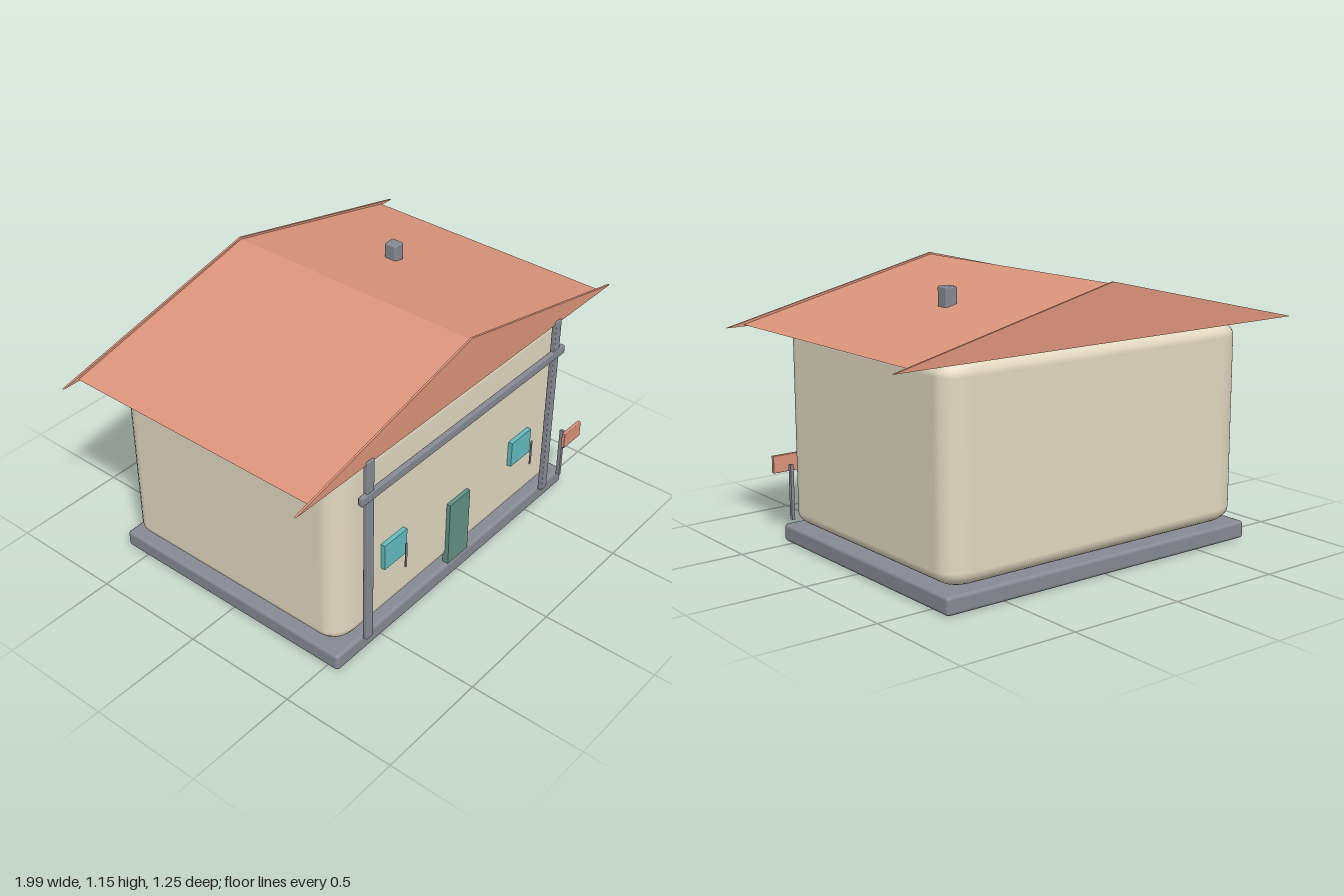
import * as THREE from 'three';
import { RoundedBoxGeometry } from 'three/addons/geometries/RoundedBoxGeometry.js';

const material = (color) => new THREE.MeshStandardMaterial({ color });

export function createModel() {
  const house = new THREE.Group();
  house.name = 'house';

  const wall = material(0xe2d9c2);
  const roofing = material(0xdb947c);
  const stone = material(0x878a93);
  const doorGreen = material(0x639284);
  const glass = material(0x62bcc0);

  function add(name, geometry, mat) {
    const mesh = new THREE.Mesh(geometry, mat);
    mesh.name = name;
    house.add(mesh);
    return mesh;
  }

  // Box given by its limits on each axis, with an optional small rounded edge
  function block(name, mat, [x0, x1], [y0, y1], [z0, z1], radius = 0) {
    const size = [x1 - x0, y1 - y0, z1 - z0];
    const geometry = radius
      ? new RoundedBoxGeometry(...size, 2, radius)
      : new THREE.BoxGeometry(...size);
    add(name, geometry, mat).position.set((x0 + x1) / 2, (y0 + y1) / 2, (z0 + z1) / 2);
  }

  // Triangular prism along z
  function gable(name, halfWidth, y0, y1, z0, z1) {
    const shape = new THREE.Shape();
    shape.moveTo(-halfWidth, y0);
    shape.lineTo(halfWidth, y0);
    shape.lineTo(0, y1);
    shape.closePath();
    const geometry = new THREE.ExtrudeGeometry(shape, { depth: z1 - z0, bevelEnabled: false });
    add(name, geometry.translate(0, 0, z0), roofing);
  }

  // Foundation slab
  block('foundation', stone, [-0.77, 0.77], [0, 0.075], [-0.61, 0.555], 0.015);

  // Softly rounded walls; the unit block is stretched so the rounding stretches too
  const walls = new RoundedBoxGeometry(1, 1, 1, 3, 0.077);
  walls.scale(1.5, 0.858, 1.125);
  add('walls', walls, wall).position.set(0, 0.503, -0.0275);

  // Roof with thin, wider gable boards at both ends
  gable('roof', 0.92, 0.932, 1.147, -0.617, 0.56);
  gable('frontGable', 0.995, 0.925, 1.155, 0.559, 0.568);
  gable('backGable', 0.995, 0.925, 1.155, -0.623, -0.614);

  // Chimney
  block('chimney', stone, [0.39, 0.445], [1.0, 1.122], [-0.168, -0.11], 0.006);

  // Porch posts and cross beam
  for (const side of [-1, 1]) {
    block(side > 0 ? 'leftPost' : 'rightPost', stone,
      [side * 0.6 - 0.02, side * 0.6 + 0.02], [0.07, 0.94], [0.555, 0.576], 0.004);
  }
  block('crossBeam', stone, [-0.655, 0.655], [0.76, 0.798], [0.559, 0.581], 0.004);

  // Door
  block('door', doorGreen, [-0.068, 0.065], [0.075, 0.382], [0.525, 0.553]);

  // Windows, each with a slim upright bar standing in front
  for (const side of [-1, 1]) {
    const x = side * 0.419;
    const prefix = side > 0 ? 'left' : 'right';
    block(prefix + 'Window', glass, [x - 0.068, x + 0.068], [0.33, 0.45], [0.53, 0.555]);
    block(prefix + 'WindowBar', stone, [x - 0.005, x + 0.005], [0.33, 0.45], [0.602, 0.606]);
  }

  // Mailbox on a thin post
  block('mailboxPost', stone, [0.711, 0.725], [0.08, 0.318], [0.562, 0.579]);
  block('mailbox', roofing, [0.655, 0.78], [0.28, 0.355], [0.607, 0.623], 0.003);

  return house;
}
